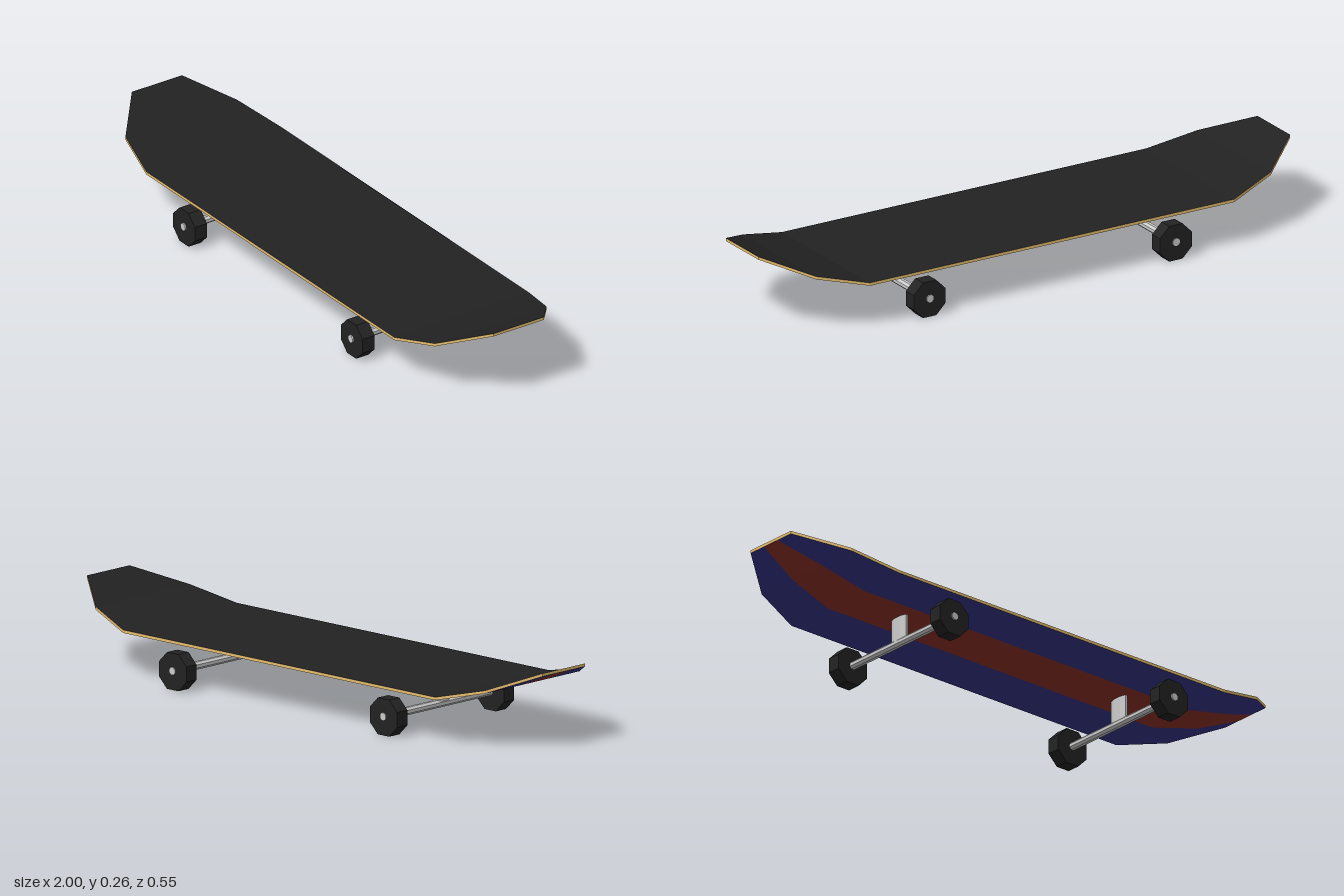
import * as THREE from 'three';

const paint = (color) => new THREE.MeshStandardMaterial({ color, flatShading: true });

// Half-deck stations: x, underside y, front/back rim z, front/back stripe z
const half = [
  { x: 0.685, y: 0.15, rim: [0.26, -0.265], stripe: [0.085, -0.09] },
  { x: 0.855, y: 0.19, rim: [0.222, -0.213], stripe: [0.078, -0.065] },
  { x: 1.0, y: 0.25, rim: [0.095, -0.1], stripe: [0.03, -0.035] },
];
const stations = [...half.map((s) => ({ ...s, x: -s.x })).reverse(), ...half];
const THICKNESS = 0.01;

// Edge line along the deck
const edge = (key, side, lift = 0) =>
  stations.map((s) => new THREE.Vector3(s.x, s.y + lift, s[key][side]));

// Faceted band of quads between two lines
function ribbon(name, a, b, material) {
  const points = [];
  for (let i = 0; i < a.length - 1; i++) {
    points.push(a[i], a[i + 1], b[i + 1], a[i], b[i + 1], b[i]);
  }
  const geometry = new THREE.BufferGeometry().setFromPoints(points);
  geometry.computeVertexNormals();
  const mesh = new THREE.Mesh(geometry, material);
  mesh.name = name;
  return mesh;
}

// Eight-sided bar with flats facing the axes; "radius" is measured to the flats
function octagon(name, radius, length, material) {
  const geometry = new THREE.CylinderGeometry(1, 1, length, 8);
  geometry.rotateY(Math.PI / 8);
  const r = radius / Math.cos(Math.PI / 8);
  geometry.scale(r, 1, r);
  const mesh = new THREE.Mesh(geometry, material);
  mesh.name = name;
  return mesh;
}

function createDeck() {
  const deck = new THREE.Group();
  deck.name = 'deck';
  const blue = paint(0x333388);
  const front = edge('rim', 0), back = edge('rim', 1);
  const topFront = edge('rim', 0, THICKNESS), topBack = edge('rim', 1, THICKNESS);
  const stripeFront = edge('stripe', 0), stripeBack = edge('stripe', 1);

  deck.add(ribbon('gripSurface', topFront, topBack, paint(0x222222)));
  deck.add(ribbon('undersideBack', back, stripeBack, blue));
  deck.add(ribbon('undersideStripe', stripeBack, stripeFront, paint(0x8c3026)));
  deck.add(ribbon('undersideFront', stripeFront, front, blue));

  // Wooden rim running once around the outline
  const loop = (f, b) => [...f, ...[...b].reverse(), f[0]];
  deck.add(ribbon('woodRim', loop(front, back), loop(topFront, topBack), paint(0xe6be6e)));
  return deck;
}

function createTruck(name) {
  const truck = new THREE.Group();
  truck.name = name;
  const metal = paint(0xcccccc);
  const rubber = paint(0x222222);

  // Flattened post under the deck
  const post = octagon('post', 0.035, 0.088, metal);
  post.scale.x = 0.3;
  post.position.set(0, 0.108, 0.005);
  truck.add(post);

  const axle = octagon('axle', 0.0125, 0.548, metal);
  axle.rotation.x = Math.PI / 2;
  axle.position.set(0, 0.062, 0.001);
  truck.add(axle);

  for (const side of [1, -1]) {
    const wheel = octagon(side > 0 ? 'frontWheel' : 'backWheel', 0.06, 0.047, rubber);
    wheel.rotation.x = Math.PI / 2;
    wheel.position.set(0, 0.06, side * 0.246);
    truck.add(wheel);
  }
  return truck;
}

export function createModel() {
  const board = new THREE.Group();
  board.name = 'skateboard';
  board.add(createDeck());
  for (const side of [1, -1]) {
    const truck = createTruck(side > 0 ? 'leftTruck' : 'rightTruck');
    truck.position.x = side * 0.463;
    board.add(truck);
  }
  return board;
}
